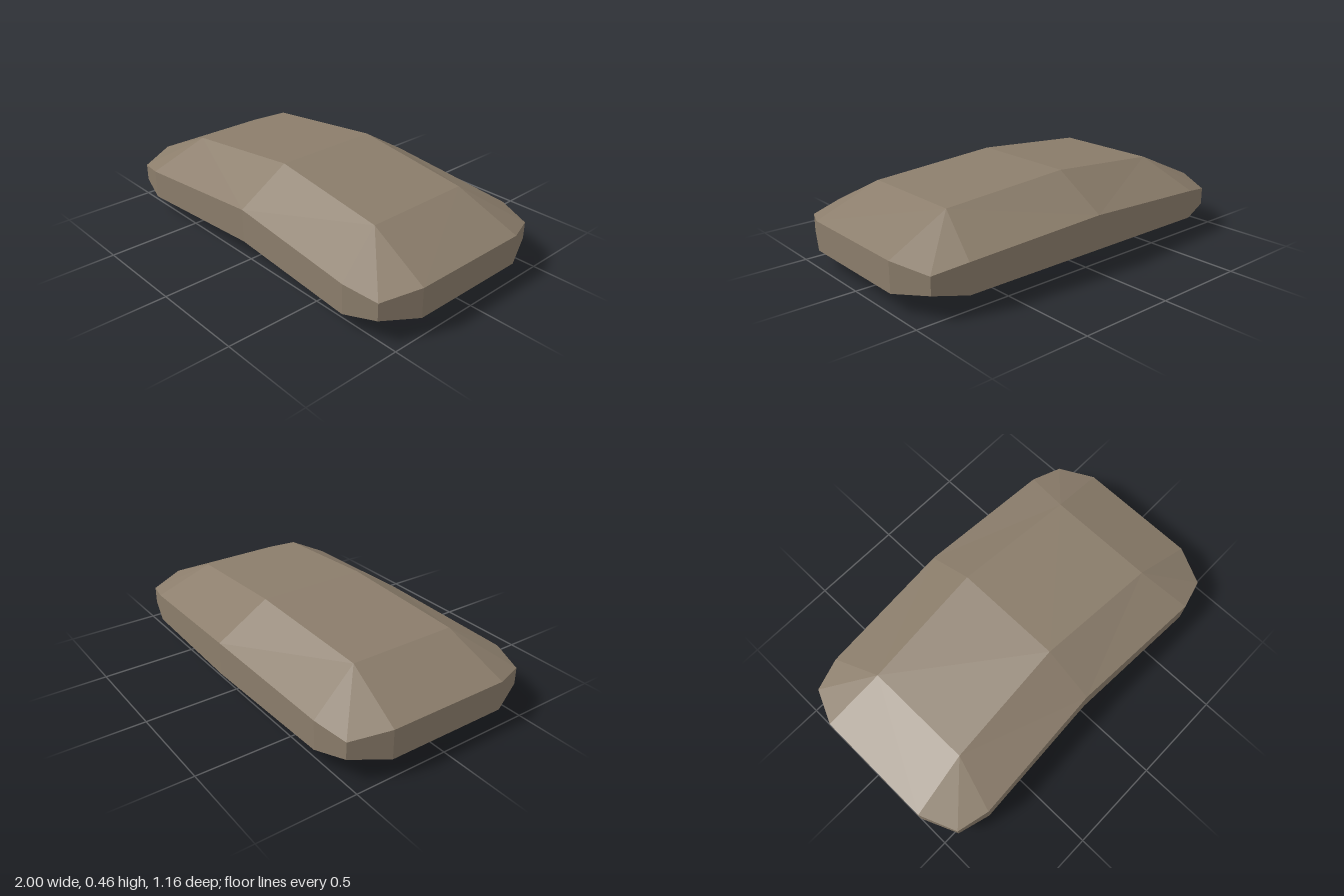
import * as THREE from 'three';

// Half outline (x >= 0) from front centre to back centre:
// x, z, upper rim y, lower rim y, index of the plateau corner it slopes to
const RIM = [
  [0, 0.54, 0.295, 0.118, 0],
  [0.75, 0.577, 0.25, 0.097, 1],
  [0.92, 0.532, 0.218, 0.129, 1],
  [1, 0.342, 0.25, 0.097, 1],
  [1, -0.308, 0.25, 0.097, 2],
  [0.92, -0.499, 0.218, 0.129, 2],
  [0.75, -0.545, 0.25, 0.097, 2],
  [0, -0.58, 0.295, 0.118, 3],
];
// Plateau corners: x, z, top y, bottom y
const PLATEAU = [
  [0, 0.27, 0.46, 0.013],
  [0.67, 0.307, 0.4, 0],
  [0.67, -0.273, 0.4, 0],
  [0, -0.31, 0.46, 0.013],
];

// Collects triangles on the +x half and their mirrored copies
function mirroredSurface(build) {
  const out = [];
  const tri = (a, b, c) => {
    out.push(...a, ...b, ...c);
    for (const [x, y, z] of [a, c, b]) out.push(-x, y, z);
  };
  build(tri);
  const geometry = new THREE.BufferGeometry();
  geometry.setAttribute('position', new THREE.Float32BufferAttribute(out, 3));
  geometry.computeVertexNormals();
  return geometry;
}

// Sloping shell from rim to plateau; level 2 is the top, 3 the underside
function shell(level) {
  return mirroredSurface((tri) => {
    const face = level === 2 ? tri : (a, b, c) => tri(a, c, b);
    const at = (p) => [p[0], p[level], p[1]];
    const plateau = PLATEAU.map(at);
    face(plateau[0], plateau[1], plateau[2]);
    face(plateau[0], plateau[2], plateau[3]);
    for (let i = 0; i < RIM.length - 1; i++) {
      const a = at(RIM[i]), b = at(RIM[i + 1]);
      const ia = RIM[i][4], ib = RIM[i + 1][4];
      const ca = plateau[ia], cb = plateau[ib];
      if (ia === ib) face(a, b, ca);
      else if (ib === 3) { // back slope folds toward the centre
        face(a, b, ca);
        face(b, cb, ca);
      } else {
        face(a, b, cb);
        face(a, cb, ca);
      }
    }
  });
}

// Upright band around the edge
function edgeBand() {
  return mirroredSurface((tri) => {
    for (let i = 0; i < RIM.length - 1; i++) {
      const [p, q] = [RIM[i], RIM[i + 1]];
      const a = [p[0], p[3], p[1]], b = [q[0], q[3], q[1]];
      const c = [q[0], q[2], q[1]], d = [p[0], p[2], p[1]];
      tri(a, b, c);
      tri(a, c, d);
    }
  });
}

export function createModel() {
  const stone = new THREE.MeshStandardMaterial({ color: 0x8b7d6b, flatShading: true });
  stone.name = 'warm grey stone';
  const model = new THREE.Group();
  model.name = 'flatStone';
  const parts = { upperShell: shell(2), edgeBand: edgeBand(), underside: shell(3) };
  for (const [name, geometry] of Object.entries(parts)) {
    const mesh = new THREE.Mesh(geometry, stone);
    mesh.name = name;
    model.add(mesh);
  }
  return model;
}
